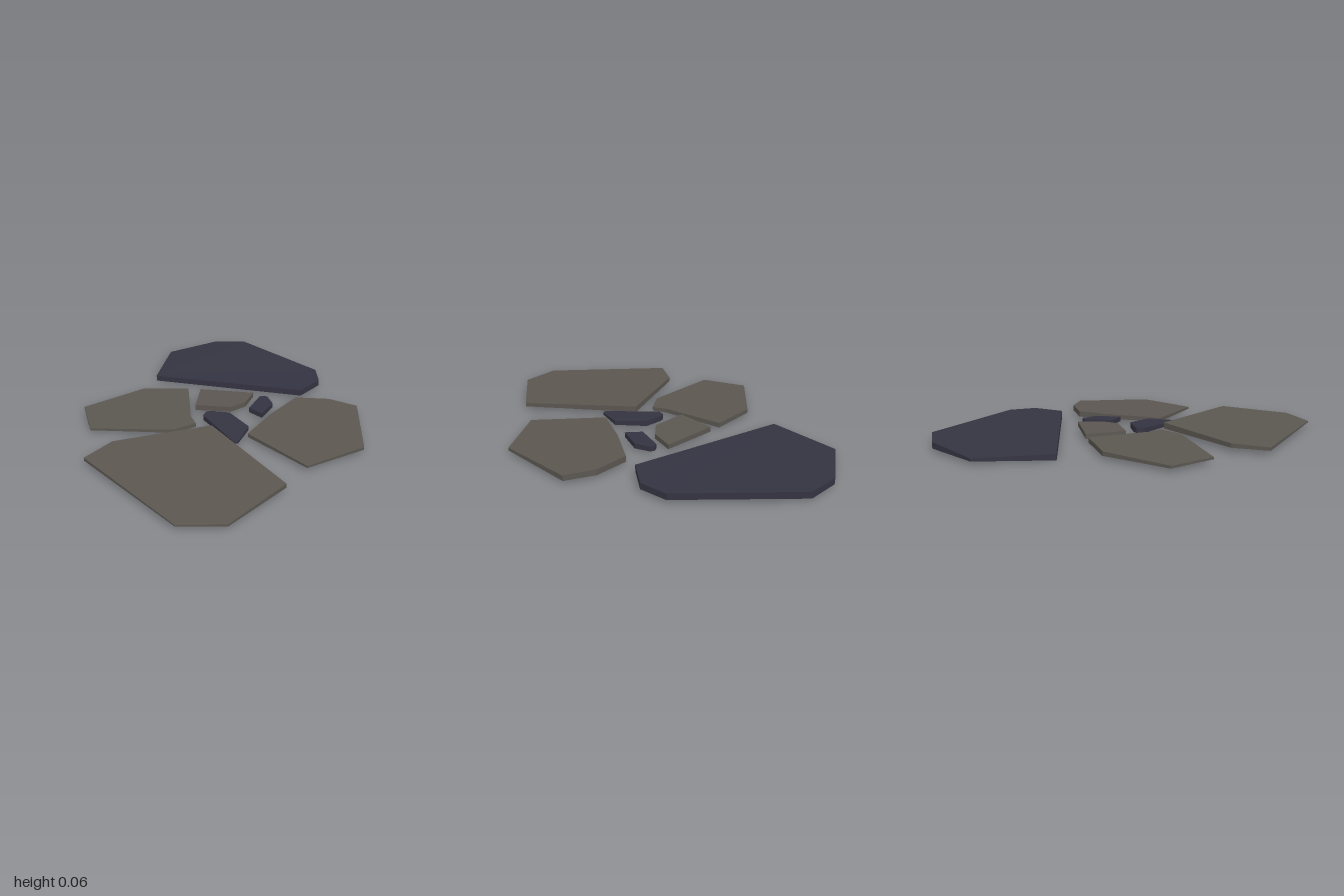
import * as THREE from 'three';

const stone = new THREE.MeshStandardMaterial({ color: 0x5b5650 });
stone.name = 'warm grey stone';
const slate = new THREE.MeshStandardMaterial({ color: 0x343341 });
slate.name = 'blue slate';

// Height of a tilted plane [height, slope along x, slope along z]
const heightAt = ([h, sx, sz], x, z) => h + sx * x + sz * z;

// Closed flat-sided slab between two tilted planes. Corners [x, z] run clockwise
// from above; a corner may carry its own top and bottom height.
function makeSlab(name, material, topPlane, bottomPlane, corners) {
  const top = corners.map(([x, z, y]) => [x, y ?? Math.min(0.062, heightAt(topPlane, x, z)), z]);
  const bottom = corners.map(([x, z, , y]) => [x, y ?? heightAt(bottomPlane, x, z), z]);
  const positions = [];
  const tri = (a, b, c) => positions.push(...a, ...b, ...c);
  for (let k = 1; k < corners.length - 1; k++) {
    tri(top[0], top[k + 1], top[k]);
    tri(bottom[0], bottom[k], bottom[k + 1]);
  }
  for (let k = 0; k < corners.length; k++) {
    const next = (k + 1) % corners.length;
    tri(bottom[next], bottom[k], top[k]);
    tri(bottom[next], top[k], top[next]);
  }
  const geometry = new THREE.BufferGeometry();
  geometry.setAttribute('position', new THREE.Float32BufferAttribute(positions, 3));
  geometry.computeVertexNormals();
  const mesh = new THREE.Mesh(geometry, material);
  mesh.name = name;
  return mesh;
}

export function createModel() {
  const model = new THREE.Group();
  model.name = 'pavingStones';
  const level = [0.02, 0, 0];

  // Large slate, sunk at its front corner
  model.add(makeSlab('backSlab', slate, [0.038, 0.01, -0.03], [0.0019, 0.009, -0.026], [
    [-0.67, -0.16, 0.036, 0], [-0.9, -0.54, 0.035, 0.018], [-0.75, -0.88], [-0.58, -1],
    [0.13, -0.89], [0.24, -0.76], [0.235, -0.56]]));

  // Large stones, sloping down to the outside
  model.add(makeSlab('leftSlab', stone, [0.0515, -0.02, -0.022], level, [
    [0.27, -0.45], [0.44, -0.57], [0.62, -0.6], [0.9, -0.2],
    [0.77, 0.165], [0.32, 0.1], [0.28, -0.17]]));
  model.add(makeSlab('frontSlab', stone, [0.0686, -0.009, -0.03], [0.025, 0, 0], [
    [0.12, 0.185], [0.8, 0.4], [0.785, 0.84], [0.6, 1], [-0.18, 0.885], [-0.19, 0.67]]));
  model.add(makeSlab('rightSlab', stone, [0.049, 0.004, -0.024], level, [
    [-0.57, 0.06], [-0.34, -0.12], [-0.07, 0.155], [0.01, 0.2],
    [-0.04, 0.34], [-0.43, 0.63], [-0.67, 0.47]]));

  // Small pieces in the middle
  model.add(makeSlab('smallStone', stone, [0.054, 0, 0.015], level, [
    [-0.275, -0.165], [0.015, -0.345], [0.065, -0.2], [0.04, -0.085], [-0.14, 0.035]]));
  model.add(makeSlab('smallSlate', slate, [0.05, 0, 0], level, [
    [0.08, -0.325], [0.095, -0.35], [0.12, -0.355], [0.2, -0.3], [0.235, -0.145], [0.13, -0.155]]));
  model.add(makeSlab('middleSlate', slate, [0.057, -0.04, -0.05], level, [
    [-0.03, 0.06], [-0.01, 0.035], [0.085, -0.02], [0.27, 0.03],
    [0.325, 0.195], [0.31, 0.215], [-0.015, 0.105]]));
  return model;
}
